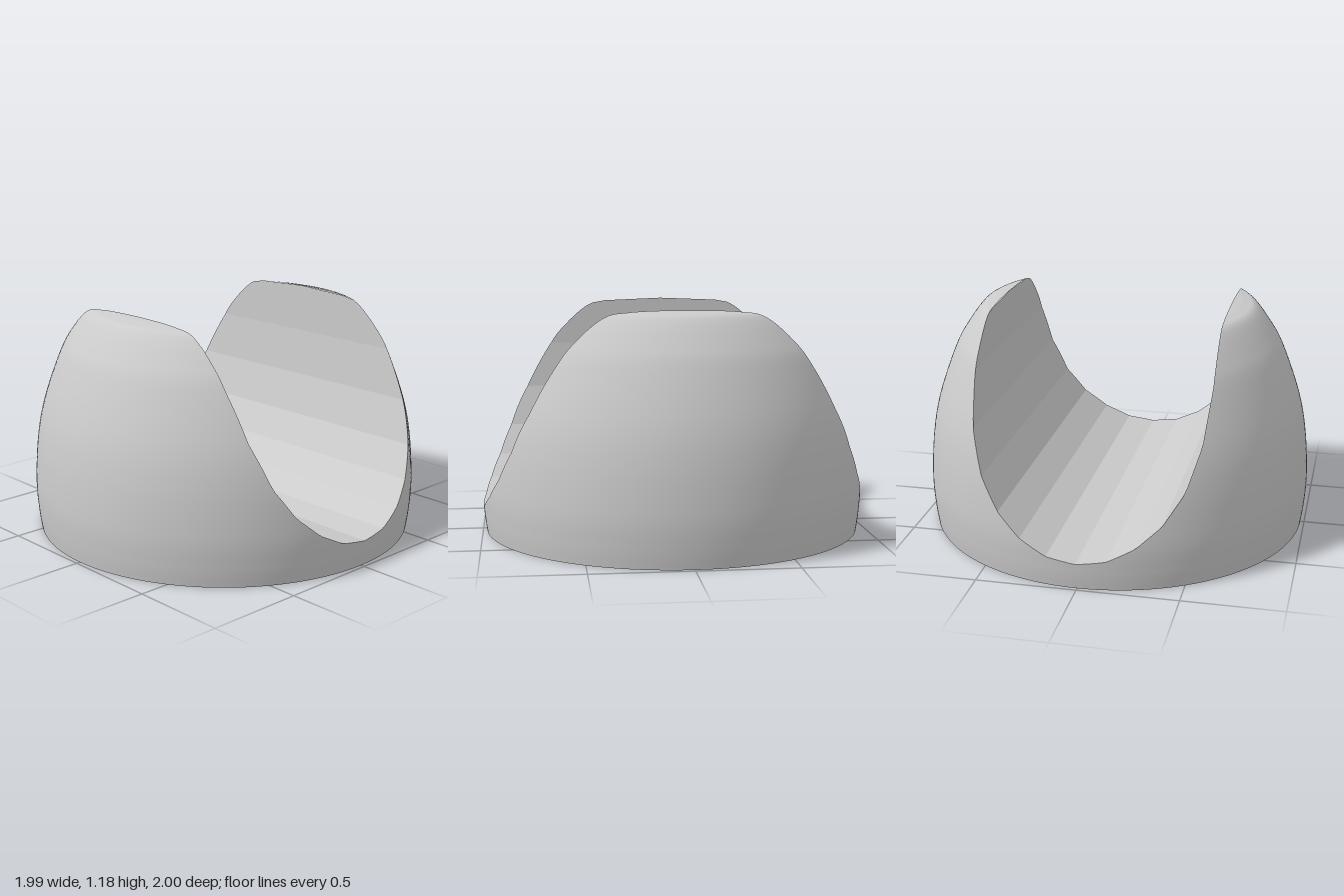
import * as THREE from 'three';

// Dome profile as (radius, height)
const profile = new THREE.SplineCurve([
  [0.98, 0], [0.993, 0.1], [1, 0.25], [0.983, 0.48], [0.942, 0.68],
  [0.855, 0.92], [0.795, 1.03], [0.71, 1.145], [0.65, 1.17], [0.582, 1.18],
].map(([r, y]) => new THREE.Vector2(r, y)));

// Faceted trough section as (z, y), mirrored about its slightly offset centre
const half = [[0, 0.133], [0.147, 0.155], [0.283, 0.224], [0.402, 0.33],
  [0.498, 0.48], [0.562, 0.688], [0.587, 0.93], [0.587, 1.18]];
const offset = -0.005;
const section = [
  ...half.slice(1).reverse().map(([z, y]) => [offset - z, y]),
  ...half.map(([z, y]) => [offset + z, y]),
];

// Largest t in 0..1 for which the test still holds
function lastTrue(test) {
  if (test(1)) return 1;
  let lo = 0, hi = 1;
  for (let i = 0; i < 30; i++) {
    const mid = (lo + hi) / 2;
    if (test(mid)) lo = mid; else hi = mid;
  }
  return lo;
}

const radiusAt = (y) => profile.getPoint(lastTrue((t) => profile.getPoint(t).y <= y)).x;

// Height of the trough floor at z, unlimited outside the trough
function troughHeight(z) {
  for (let i = 1; i < section.length - 2; i++) {
    const [z0, y0] = section[i], [z1, y1] = section[i + 1];
    if (z >= z0 && z <= z1) return y0 + (y1 - y0) * (z - z0) / (z1 - z0);
  }
  return Infinity;
}

function gridGeometry(positions, normals, index) {
  const g = new THREE.BufferGeometry();
  g.setAttribute('position', new THREE.Float32BufferAttribute(positions, 3));
  if (normals) g.setAttribute('normal', new THREE.Float32BufferAttribute(normals, 3));
  g.setIndex(index);
  return g;
}

// Smooth outer shell: every column climbs the profile until it meets the trough
function shellGeometry(columns = 256, rows = 40) {
  const pos = [], nor = [], index = [];
  for (let i = 0; i <= columns; i++) {
    const a = (i / columns) * Math.PI * 2, c = Math.cos(a), s = Math.sin(a);
    const end = lastTrue((t) => {
      const p = profile.getPoint(t);
      return p.y <= troughHeight(p.x * s);
    });
    for (let j = 0; j <= rows; j++) {
      const t = (end * j) / rows;
      const p = profile.getPoint(t), d = profile.getTangent(t);
      pos.push(p.x * c, p.y, p.x * s);
      nor.push(d.y * c, -d.x, d.y * s);
      if (i < columns && j < rows) {
        const k = i * (rows + 1) + j, n = k + rows + 1;
        index.push(k, k + 1, n, n, k + 1, n + 1);
      }
    }
  }
  return gridGeometry(pos, nor, index);
}

// Flat trough facets, trimmed left and right to the shell
function troughGeometry(steps = 20) {
  const pos = [], index = [];
  for (let i = 0; i < section.length - 1; i++) {
    const [z0, y0] = section[i], [z1, y1] = section[i + 1];
    for (let j = 0; j <= steps; j++) {
      const f = j / steps;
      const z = z0 + (z1 - z0) * f, y = y0 + (y1 - y0) * f;
      const x = Math.sqrt(Math.max(0, radiusAt(y) ** 2 - z * z));
      const k = pos.length / 3;
      pos.push(-x, y, z, x, y, z);
      if (j < steps) index.push(k, k + 2, k + 1, k + 1, k + 2, k + 3);
    }
  }
  const g = gridGeometry(pos, null, index);
  g.computeVertexNormals();
  return g;
}

export function createModel() {
  const group = new THREE.Group();
  group.name = 'notchedDome';
  const smooth = new THREE.MeshStandardMaterial({ color: 0xcccccc });
  const flat = new THREE.MeshStandardMaterial({ color: 0xcccccc, flatShading: true });
  const add = (name, geometry, material) => {
    const mesh = new THREE.Mesh(geometry, material);
    mesh.name = name;
    group.add(mesh);
  };
  add('domeShell', shellGeometry(), smooth);
  add('trough', troughGeometry(), flat);
  // Flat underside
  add('base', new THREE.CircleGeometry(0.98, 256).rotateX(Math.PI / 2), flat);
  return group;
}
